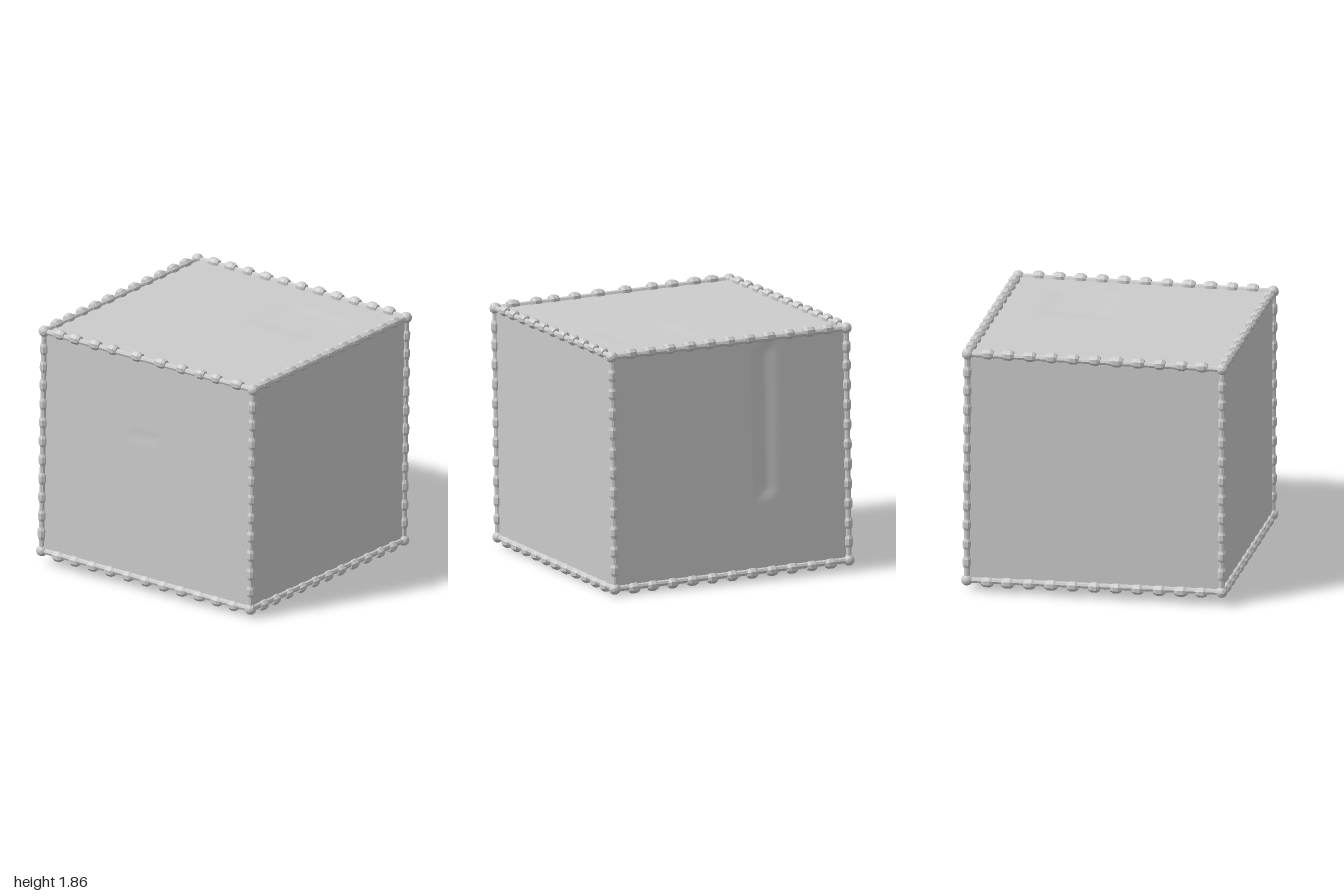
import * as THREE from 'three';

// Slightly skewed cube: maps u, v, w in -1..1 to a point
const place = (u, v, w) => new THREE.Vector3(
  0.95 * u + 0.012 * v,
  0.93 + 0.86 * v - 0.018 * u + 0.006 * w * (1 - v),
  0.945 * w + 0.01 * u
);

const step = (a, b, t) => THREE.MathUtils.smoothstep(t, a, b);
const band = (a, b, t, soft) => step(a - soft, a + soft, t) * (1 - step(b - soft, b + soft, t));

let seed = 7;
const rand = () => (seed = (seed * 16807) % 2147483647) / 2147483647;

export function createModel() {
  const group = new THREE.Group();
  const smooth = new THREE.MeshStandardMaterial({ color: 0xcccccc });
  const flat = new THREE.MeshStandardMaterial({ color: 0xcccccc, flatShading: true });

  // Cube body with faint dents on the top, back and front
  const geo = new THREE.BoxGeometry(2, 2, 2, 48, 48, 48);
  const pos = geo.attributes.position;
  const normal = geo.attributes.normal;
  for (let i = 0; i < pos.count; i++) {
    const u = pos.getX(i), v = pos.getY(i), w = pos.getZ(i);
    const p = place(u, v, w);
    if (normal.getY(i) > 0.5) p.y -= 0.006 * band(0.12, 0.72, u, 0.06) * band(-0.64, -0.17, w, 0.06);
    if (normal.getZ(i) < -0.5) p.z += 0.014 * band(-0.36, -0.25, u, 0.04) * band(-0.35, 0.93, v, 0.04);
    if (normal.getZ(i) > 0.5) p.z -= 0.006 * band(-0.16, 0.08, u, 0.04) * band(0.27, 0.31, v, 0.03);
    pos.setXYZ(i, p.x, p.y, p.z);
  }
  geo.computeVertexNormals();
  const body = new THREE.Mesh(geo, smooth);
  body.name = 'cubeBody';
  group.add(body);

  // Faceted knob, its axis along y
  const knobGeo = new THREE.LatheGeometry([
    [0, -0.045], [0.028, -0.042], [0.041, -0.02], [0.041, 0.02], [0.028, 0.042], [0, 0.045],
  ].map(([r, y]) => new THREE.Vector2(r, y)), 8);
  const rimGeo = new THREE.CylinderGeometry(0.022, 0.022, 1, 8);
  const cornerGeo = new THREE.IcosahedronGeometry(0.043, 1);

  // Knob positions along each edge direction
  const spaced = [-0.84, -0.68, -0.51, -0.34, -0.17, 0, 0.17, 0.34, 0.51, 0.68, 0.84];
  const frontTop = [-0.85, -0.7, -0.51, -0.34, -0.11, 0.12, 0.32, 0.5, 0.65, 0.85];

  function addEdge(name, a, b, stops, vertical, outY) {
    const edge = new THREE.Group();
    edge.name = name;
    const dir = b.clone().sub(a);
    const turn = new THREE.Quaternion().setFromUnitVectors(
      new THREE.Vector3(0, 1, 0), dir.clone().normalize());
    const rim = new THREE.Mesh(rimGeo, flat);
    rim.name = 'edgeRim';
    rim.position.copy(a).lerp(b, 0.5);
    rim.quaternion.copy(turn);
    rim.scale.y = dir.length();
    edge.add(rim);
    for (const s of stops) {
      const knob = new THREE.Mesh(knobGeo, flat);
      knob.name = 'edgeKnob';
      knob.position.copy(a).lerp(b, (s + 1) / 2);
      knob.position.y += outY;
      knob.quaternion.copy(turn);
      knob.rotateY(Math.PI / 8);
      const r = (vertical ? 0.78 : 0.97) + 0.06 * (rand() - 0.5);
      knob.scale.set(r, (vertical ? 1.1 : 1) + 0.2 * (rand() - 0.5), r);
      edge.add(knob);
    }
    group.add(edge);
  }

  // Twelve knobbed edges
  for (const m of [-1, 1]) {
    for (const n of [-1, 1]) {
      const side = n > 0 ? 'left' : 'right';
      const depth = n > 0 ? 'Front' : 'Back';
      const level = m > 0 ? 'top' : 'bottom';
      addEdge(level + depth + 'Edge', place(-1, m, n), place(1, m, n),
        m > 0 && n > 0 ? frontTop : spaced, false, 0.009 * m);
      addEdge(level + (n > 0 ? 'Left' : 'Right') + 'Edge', place(n, m, -1), place(n, m, 1),
        spaced, false, 0.009 * m);
      addEdge(side + (m > 0 ? 'Front' : 'Back') + 'Post', place(n, -1, m), place(n, 1, m),
        spaced, true, 0);
      // Corner knobs
      for (const k of [-1, 1]) {
        const corner = new THREE.Mesh(cornerGeo, flat);
        corner.name = 'cornerKnob';
        corner.position.copy(place(k, m, n));
        group.add(corner);
      }
    }
  }
  return group;
}
